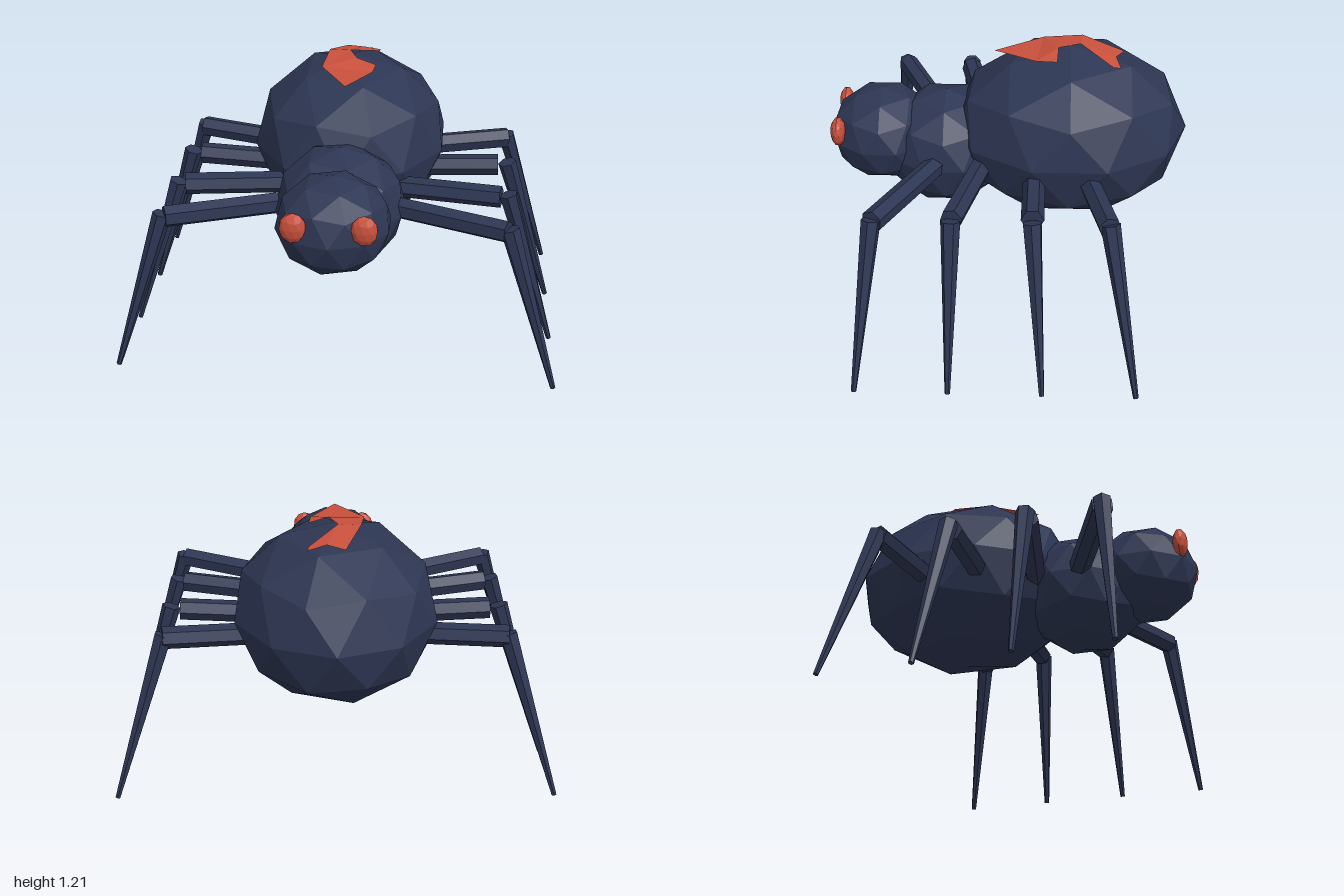
import * as THREE from 'three';

export function createModel() {
  const model = new THREE.Group();
  const navy = new THREE.MeshStandardMaterial({ color: 0x2d3653, flatShading: true });
  navy.name = 'navy';
  const red = new THREE.MeshStandardMaterial({ color: 0xc8503c, flatShading: true, side: THREE.DoubleSide });
  red.name = 'red';

  const add = (name, geometry, material) => {
    const mesh = new THREE.Mesh(geometry, material);
    mesh.name = name;
    model.add(mesh);
    return mesh;
  };

  // Faceted ball with a vertex at each pole, stretched to the given radii
  const blob = (name, material, [x, y, z], [rx, ry, rz]) => {
    const g = new THREE.IcosahedronGeometry(1, 1);
    g.rotateX(-Math.atan((1 + Math.sqrt(5)) / 2));
    g.rotateY(Math.PI / 2);
    g.scale(rx, ry, rz);
    add(name, g, material).position.set(x, y, z);
  };

  // Six-sided limb segment between two points
  const limb = (name, from, to, r0, r1) => {
    const a = new THREE.Vector3(...from);
    const b = new THREE.Vector3(...to);
    const dir = b.clone().sub(a);
    const mesh = add(name, new THREE.CylinderGeometry(r1, r0, dir.length(), 6), navy);
    mesh.position.copy(a).add(b).multiplyScalar(0.5);
    mesh.quaternion.setFromUnitVectors(new THREE.Vector3(0, 1, 0), dir.normalize());
  };

  // Body
  blob('abdomen', navy, [0, 0.805, -0.285], [0.468, 0.405, 0.545]);
  blob('thorax', navy, [0, 0.7, 0.285], [0.3, 0.28, 0.3]);
  blob('head', navy, [0, 0.76, 0.58], [0.257, 0.223, 0.25]);

  // Legs, front to back: root x and z, knee x and z, foot z
  const legs = [
    [0.2, 0.3, 0.75, 0.55, 0.637],
    [0.2, 0.1, 0.725, 0.215, 0.228],
    [0.3, -0.13, 0.715, -0.13, -0.182],
    [0.3, -0.36, 0.765, -0.457, -0.59],
  ];
  for (const side of [1, -1]) {
    const label = side > 0 ? 'left' : 'right';
    blob(label + 'Eye', red, [side * 0.15, 0.828, 0.776], [0.058, 0.07, 0.035]);
    legs.forEach(([rx, rz, kx, kz, fz], i) => {
      limb(`${label}UpperLeg${i + 1}`, [side * rx, 0.715, rz], [side * kx, 0.735, kz], 0.05, 0.05);
      limb(`${label}LowerLeg${i + 1}`, [side * 0.757, 0.75, kz], [side * 0.988, 0.005, fz], 0.043, 0.012);
    });
  }

  // Folded marking lying over the top of the abdomen
  const points = [
    0, 1.18, 0.06, -0.13, 1.19, -0.16, -0.11, 1.213, -0.34, -0.04, 1.168, -0.53,
    0.04, 1.177, -0.49, 0.12, 1.158, -0.51, 0.12, 1.162, -0.475, -0.01, 1.215, -0.33,
    0.03, 1.213, -0.23, 0.12, 1.184, -0.225, 0.11, 1.182, -0.13,
  ];
  const marking = new THREE.BufferGeometry();
  marking.setAttribute('position', new THREE.Float32BufferAttribute(points, 3));
  marking.setIndex([
    0, 10, 1, 10, 9, 8, 10, 8, 1, 1, 8, 7, 1, 7, 2,
    2, 7, 4, 2, 4, 3, 7, 6, 4, 6, 5, 4,
  ]);
  const flat = marking.toNonIndexed();
  flat.computeVertexNormals();
  add('backMarking', flat, red);

  return model;
}
